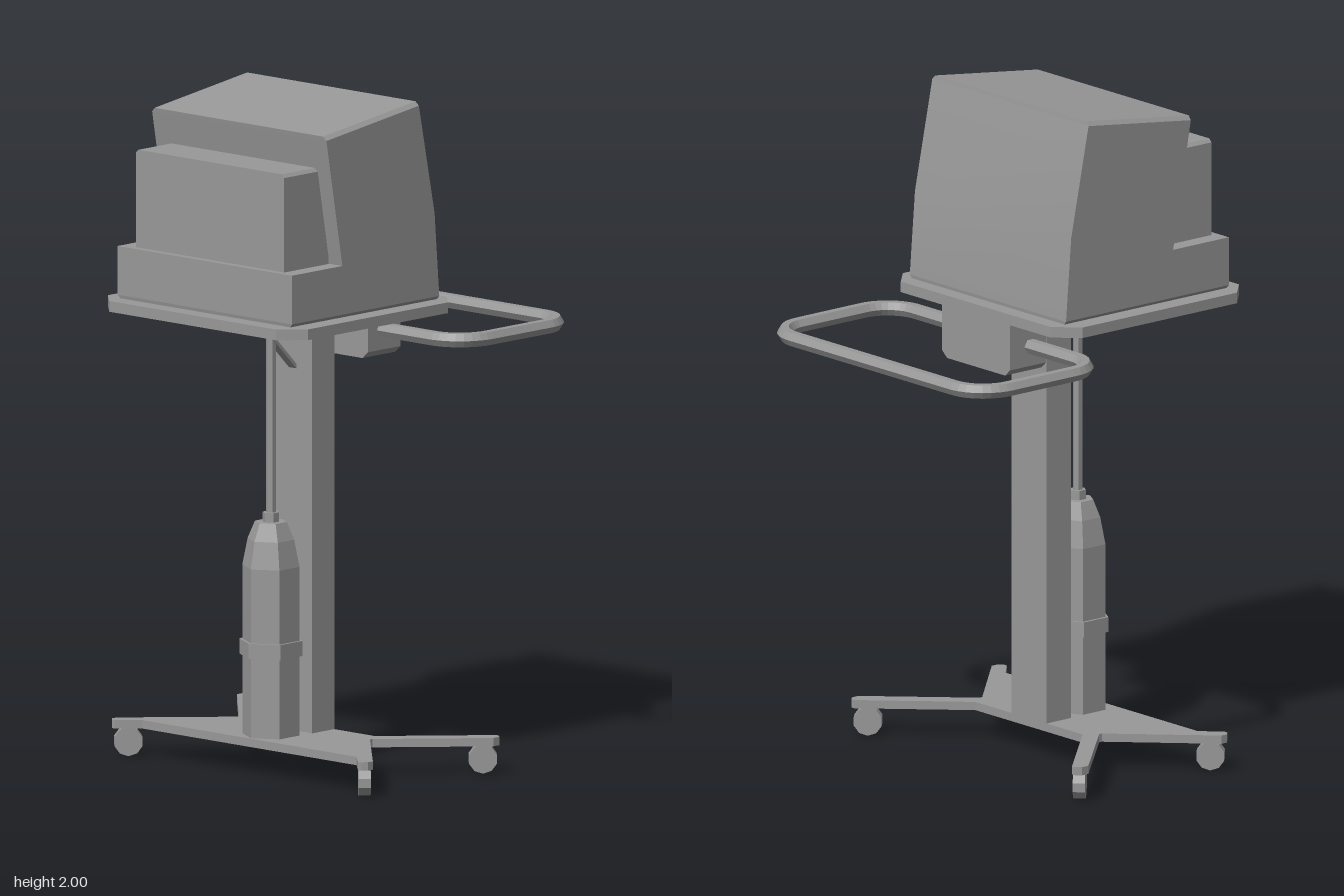
import * as THREE from 'three';
import { toCreasedNormals } from 'three/addons/utils/BufferGeometryUtils.js';
import { ConvexGeometry } from 'three/addons/geometries/ConvexGeometry.js';

const flat = new THREE.MeshStandardMaterial({ color: 0x999999, flatShading: true });
const smooth = new THREE.MeshStandardMaterial({ color: 0x999999 });
const V = (x, y, z) => new THREE.Vector3(x, y, z);
const shapeOf = (pts) => new THREE.Shape(pts.map(([x, y]) => new THREE.Vector2(x, y)));
const extrude = (pts, depth) =>
  new THREE.ExtrudeGeometry(shapeOf(pts), { depth, bevelEnabled: false });

// Horizontal plate from half an outline (z >= 0), mirrored across z = 0
function plate(half, top, thickness) {
  const other = half.map(([x, z]) => [x, -z]).reverse();
  return extrude([...half, ...other], thickness).rotateX(Math.PI / 2).translate(0, top, 0);
}

// Thin slab whose sides slope between two edges of different half widths
function bevelSlab(edgeA, halfA, edgeB, halfB) {
  const points = [];
  for (const s of [-1, 1]) {
    for (const [x, y] of edgeA) points.push(V(x, y, s * halfA));
    for (const [x, y] of edgeB) points.push(V(x, y, s * halfB));
  }
  return new ConvexGeometry(points);
}

export function createModel() {
  const group = new THREE.Group();
  const add = (name, geometry, x = 0, y = 0, z = 0, material = flat) => {
    const mesh = new THREE.Mesh(geometry, material);
    mesh.name = name;
    mesh.position.set(x, y, z);
    group.add(mesh);
    return mesh;
  };
  const box = (name, x0, x1, y0, y1, width, z = 0) =>
    add(name, new THREE.BoxGeometry(x1 - x0, y1 - y0, width), (x0 + x1) / 2, (y0 + y1) / 2, z);

  // Base plate with four splayed arms
  add('base', plate([
    [-0.33, 0.43], [-0.385, 0.488], [-0.385, 0.5], [-0.37, 0.515], [-0.35, 0.515],
    [-0.1, 0.268], [-0.09, 0.268], [0.165, 0.515], [0.19, 0.515], [0.205, 0.5],
    [0.205, 0.488], [-0.05, 0.24],
  ], 0.108, 0.025));

  // Casters, each rolling along its arm
  for (const [x, sx] of [[-0.343, -1], [0.163, 1]]) {
    for (const sz of [-1, 1]) {
      const turn = Math.atan2(-sz, sx);
      const wheel = new THREE.CylinderGeometry(0.043, 0.043, 0.036, 10)
        .rotateX(Math.PI / 2).rotateY(turn);
      add('casterWheel', wheel, x, 0.043, sz * 0.474);
      add('casterMount', new THREE.BoxGeometry(0.04, 0.03, 0.034).rotateY(turn),
        x, 0.075, sz * 0.474);
    }
  }

  // Column
  box('column', -0.145, -0.05, 0.1, 1.37, 0.156);

  // Hexagonal bottle with collar, neck and rod
  const bottleX = -0.238;
  const profile = [[0, 0.1], [0.086, 0.1], [0.086, 0.61], [0.07, 0.69], [0.048, 0.742], [0, 0.742]]
    .map(([r, y]) => new THREE.Vector2(r, y));
  add('bottle', new THREE.LatheGeometry(profile, 6, Math.PI / 2), bottleX);
  const prism = (name, r, y0, y1) => add(name,
    new THREE.CylinderGeometry(r, r, y1 - y0, 6, 1, false, Math.PI / 2), bottleX, (y0 + y1) / 2);
  prism('bottleCollar', 0.095, 0.345, 0.39);
  prism('bottleNeck', 0.025, 0.74, 0.77);
  prism('rod', 0.015, 0.76, 1.37);

  // Tray with cut corners
  add('tray', plate([
    [-0.572, 0.335], [-0.507, 0.402], [0.091, 0.402], [0.157, 0.335],
  ], 1.4, 0.032));

  // Rails and diagonal brace below the tray
  for (const z of [-0.06, 0.06]) box('trayRail', -0.45, -0.14, 1.357, 1.372, 0.016, z);
  const brace = add('brace', new THREE.BoxGeometry(0.24, 0.01, 0.03), -0.227, 1.275, 0);
  brace.rotation.z = -Math.PI / 4;

  // Handle bracket
  add('handleBracket', extrude([
    [-0.152, 1.37], [-0.152, 1.23], [-0.13, 1.21], [0.13, 1.21], [0.152, 1.23], [0.152, 1.37],
  ].reverse(), 0.14).rotateY(Math.PI / 2), 0.015);

  // Handle loop: straight runs joined by rounded corners, drawn along x and then turned
  const path = new THREE.CurvePath();
  const r = 0.11;
  const ends = [[0.13, 0.076], [0.47, 0.076], [0.47, 0.548],
    [-0.47, 0.548], [-0.47, 0.076], [-0.13, 0.076]].map(([x, z]) => V(x, 0, z));
  let from = ends[0];
  for (let i = 1; i <= 4; i++) {
    const c = ends[i];
    const along = (p, d) => c.clone().addScaledVector(p.clone().sub(c).normalize(), d);
    const start = along(ends[i - 1], r), end = along(ends[i + 1], r);
    path.add(new THREE.LineCurve3(from, start));
    path.add(new THREE.CubicBezierCurve3(
      start, along(ends[i - 1], r * 0.45), along(ends[i + 1], r * 0.45), end));
    from = end;
  }
  path.add(new THREE.LineCurve3(from, ends[5]));
  add('handle', new THREE.TubeGeometry(path, 110, 0.023, 6).rotateY(Math.PI / 2), 0, 1.29);

  // Monitor housing with a softly bent front, a beveled foot and a beveled top
  const rearTop = [-0.373, 1.936], frontTop = [0.022, 1.988];
  const rearFoot = [-0.52, 1.41], frontFoot = [0.109, 1.41];
  const housing = extrude(
    [rearFoot, frontFoot, [0.089, 1.66], frontTop, rearTop, [-0.305, 1.555], [-0.52, 1.555]], 0.7);
  add('monitor', toCreasedNormals(housing, 0.3), 0, 0, -0.35, smooth);
  add('monitorTop', bevelSlab([rearTop, frontTop], 0.35, [[-0.375, 1.948], [0.02, 2]], 0.338));
  add('monitorFoot', bevelSlab([rearFoot, frontFoot], 0.35, [[-0.518, 1.4], [0.108, 1.4]], 0.342));

  // Rear housing with beveled top edges
  add('monitorRear', extrude([
    [-0.298, 1.55], [0.298, 1.55], [0.298, 1.836], [0.288, 1.846], [-0.288, 1.846], [-0.298, 1.836],
  ], 0.19).rotateY(Math.PI / 2), -0.498);

  return group;
}
